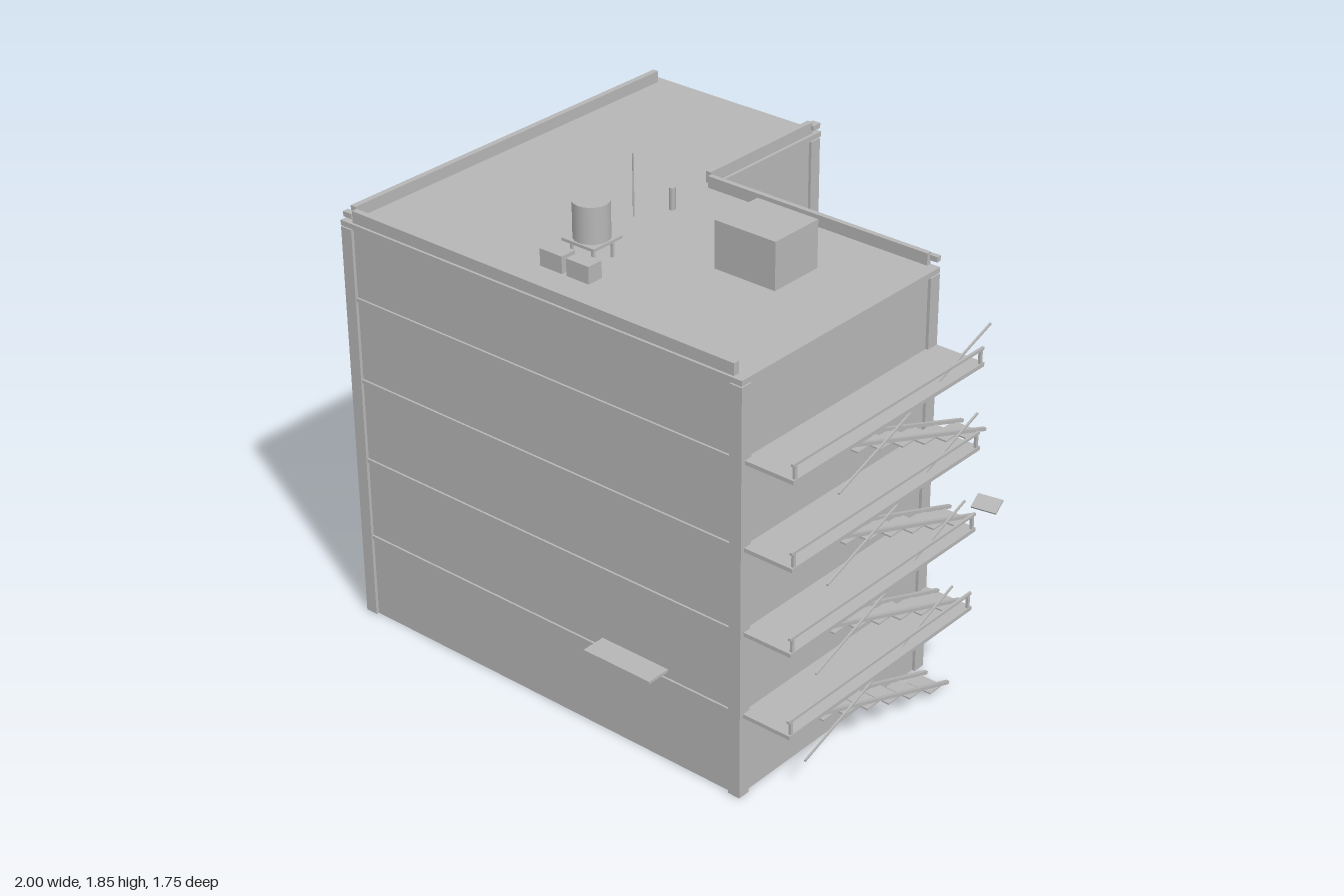
import * as THREE from 'three';

export function createModel() {
  const model = new THREE.Group();
  const grey = new THREE.MeshStandardMaterial({ color: 0xb6b6b6 });
  grey.name = 'concrete grey';

  const add = (name, geometry, parent = model) => {
    const mesh = new THREE.Mesh(geometry, grey);
    mesh.name = name;
    parent.add(mesh);
    return mesh;
  };
  // Box given by its limits on each axis
  const box = (name, x0, x1, y0, y1, z0, z1, parent) => {
    const mesh = add(name, new THREE.BoxGeometry(x1 - x0, y1 - y0, z1 - z0), parent);
    mesh.position.set((x0 + x1) / 2, (y0 + y1) / 2, (z0 + z1) / 2);
    return mesh;
  };
  // L-shaped storey block, inset from the outer footprint
  const block = (name, inset, y0, y1) => {
    const i = inset;
    const shape = new THREE.Shape([
      [-1 + i, -0.875 + i], [-0.2 - i, -0.875 + i], [-0.2 - i, -0.25 + i],
      [0.8 - i, -0.25 + i], [0.8 - i, 0.79 - i], [-1 + i, 0.79 - i],
    ].map(([x, z]) => new THREE.Vector2(x, z)));
    const geometry = new THREE.ExtrudeGeometry(shape, { depth: y1 - y0, bevelEnabled: false });
    geometry.rotateX(Math.PI / 2);
    geometry.translate(0, y1, 0);
    add(name, geometry);
  };
  // Square bar between two points in a plane of constant x
  const slopedBar = (name, x, z0, y0, z1, y1, w, h, parent) => {
    const mesh = add(name, new THREE.BoxGeometry(w, h, Math.hypot(z1 - z0, y1 - y0)), parent);
    mesh.position.set(x, (y0 + y1) / 2, (z0 + z1) / 2);
    mesh.rotation.x = -Math.atan2(y1 - y0, z1 - z0);
    return mesh;
  };

  // Building body
  block('walls', 0.012, 0, 1.58);
  block('cornice', 0, 1.585, 1.605);
  block('corniceNeck', 0.008, 1.575, 1.585);

  // Corner pillars
  const pillars = [[-1, -0.87], [-0.25, -0.87], [-0.25, -0.295], [0.75, -0.25], [0.75, 0.74], [-1, 0.74]];
  for (const [x, z] of pillars) box('cornerPillar', x, x + 0.05, 0, 1.58, z, z + 0.05);

  // Floor bands on the front, left and back walls
  for (let i = 1; i <= 4; i++) {
    const y = 0.325 * i + 0.002;
    const top = y + 0.014;
    box('frontBand', -0.95, 0.75, y, top, 0.77, 0.786);
    box('leftBand', -0.996, -0.98, y, top, -0.82, 0.74);
    box('rearBand', -0.95, -0.25, y, top, -0.871, -0.855);
    box('wingRearBand', -0.2, 0.75, y, top, -0.246, -0.23);
  }

  // Parapets with small end stubs
  box('frontParapet', -0.95, 0.76, 1.605, 1.65, 0.757, 0.78);
  box('leftParapet', -0.988, -0.965, 1.605, 1.65, -0.84, 0.75);
  box('notchParapet', -0.235, -0.212, 1.605, 1.65, -0.84, -0.26);
  box('wingRearParapet', -0.2, 0.76, 1.605, 1.65, -0.25, -0.23);
  box('parapetStub', 0.75, 0.79, 1.62, 1.64, -0.265, -0.245);
  box('parapetStub', -0.235, -0.2, 1.62, 1.64, -0.87, -0.83);
  box('parapetStub', -0.99, -0.95, 1.62, 1.64, 0.762, 0.785);

  // Roof hut, ventilation boxes, pipe and mast
  box('roofHut', 0.23, 0.49, 1.605, 1.785, 0.02, 0.245);
  for (const x of [-0.23, -0.11]) box('ventilationUnit', x, x + 0.1, 1.605, 1.67, 0.54, 0.605);
  add('ventPipe', new THREE.CylinderGeometry(0.012, 0.012, 0.085, 8)).position.set(-0.18, 1.647, -0.015);
  add('antenna', new THREE.CylinderGeometry(0.003, 0.003, 0.24, 6)).position.set(-0.245, 1.725, 0.115);

  // Water tank on its stand
  const tank = new THREE.Group();
  tank.name = 'waterTank';
  tank.position.set(-0.137, 0, 0.447);
  model.add(tank);
  add('tankBody', new THREE.CylinderGeometry(0.066, 0.066, 0.137, 20), tank).position.y = 1.7515;
  box('tankPlatform', -0.072, 0.072, 1.673, 1.684, -0.072, 0.072, tank);
  for (const x of [-0.048, 0.048]) for (const z of [-0.048, 0.048])
    box('tankLeg', x - 0.005, x + 0.005, 1.605, 1.673, z - 0.005, z + 0.005, tank);

  // Fire escape: one landing, railing and stair per floor
  for (let i = 1; i <= 4; i++) {
    const escape = new THREE.Group();
    escape.name = 'fireEscape';
    model.add(escape);
    const y = 0.325 * i;
    box('landing', 0.79, 0.997, y - 0.003, y + 0.012, -0.25, 0.773, escape);
    box('handrail', 0.985, 0.995, y + 0.06, y + 0.07, -0.25, 0.773, escape);
    for (const z of [-0.235, 0.757])
      box('railPost', 0.985, 0.995, y + 0.012, y + 0.062, z - 0.006, z + 0.006, escape);

    const z0 = 0.715 - 0.05 * i;
    for (const x of [0.85, 0.945])
      slopedBar('stairStringer', x, z0, y, z0 - 0.865, y - 0.307, 0.014, 0.012, escape);
    for (let k = 0; k < 7; k++) {
      const t = (k + 0.5) / 7;
      const z = z0 - 0.865 * t + 0.015;
      const ty = y - 0.307 * t - 0.012;
      box('stairTread', 0.845, 0.95, ty - 0.003, ty + 0.003, z - 0.035, z + 0.035, escape);
    }
    slopedBar('stairRail', 0.96, z0 - 0.025, y - 0.177, z0 - 0.845, y + 0.115, 0.007, 0.007, escape);
  }

  // Front canopy and loose panel behind the escape
  box('canopy', 0.178, 0.475, 0.365, 0.376, 0.77, 0.875);
  const panel = add('loosePanel', new THREE.BoxGeometry(0.098, 0.007, 0.064));
  panel.position.set(0.892, 0.615, -0.47);
  panel.rotation.set(0.42, 0.18, 0, 'YXZ');

  return model;
}
